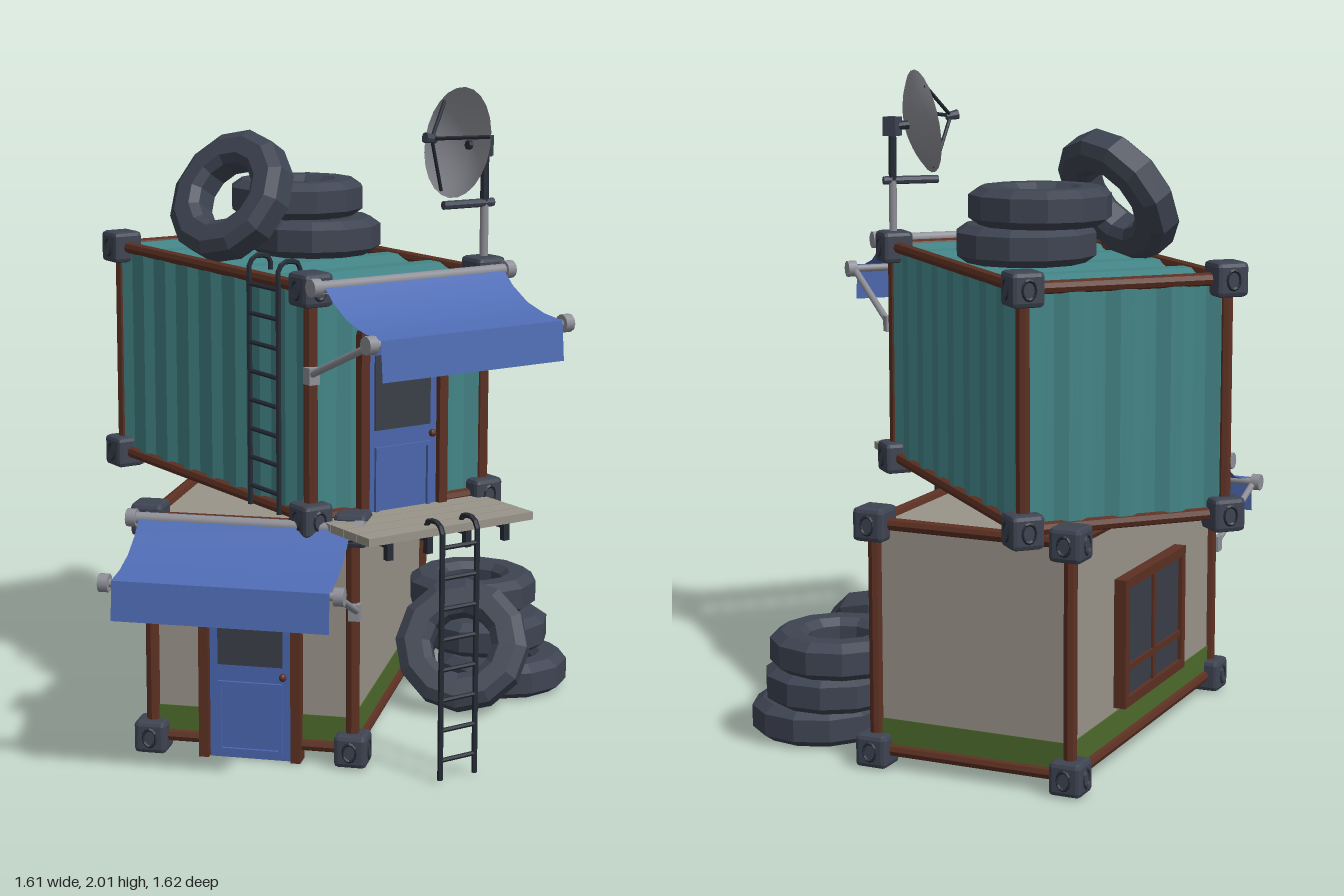
import * as THREE from 'three';
import { RoundedBoxGeometry } from 'three/addons/geometries/RoundedBoxGeometry.js';

const V = (x, y, z) => new THREE.Vector3(x, y, z);
const W = 0.62, D = 1.13, H = 0.68; // container frame, centre to centre

export function createModel() {
  const mat = (name, color, extra = {}) => {
    const m = new THREE.MeshStandardMaterial({ color, flatShading: true, ...extra });
    m.name = name;
    return m;
  };
  const rust = mat('rust brown', 0x5c3022);
  const rubber = mat('dark slate', 0x3e4452);
  const teal = mat('teal', 0x438486, { side: THREE.DoubleSide });
  const beige = mat('beige', 0x99948a);
  const green = mat('moss green', 0x4e6a2c);
  const blue = mat('blue', 0x4a66ae);
  const cloth = mat('awning blue', 0x4f6cb4, { side: THREE.DoubleSide, flatShading: false });
  const glass = mat('dark glass', 0x3a3e47);
  const steel = mat('light steel', 0x8f9098, { side: THREE.DoubleSide, flatShading: false });
  const iron = mat('black iron', 0x262c36);

  const add = (parent, name, geo, material, x = 0, y = 0, z = 0) => {
    const m = new THREE.Mesh(geo, material);
    m.name = name;
    m.position.set(x, y, z);
    parent.add(m);
    return m;
  };
  const box = (parent, name, material, w, h, d, x, y, z) =>
    add(parent, name, new THREE.BoxGeometry(w, h, d), material, x, y, z);
  const bar = (parent, name, material, a, b, r, sides = 8) => {
    const dir = b.clone().sub(a);
    const m = add(parent, name, new THREE.CylinderGeometry(r, r, dir.length(), sides), material);
    m.position.copy(a).addScaledVector(dir, 0.5);
    m.quaternion.setFromUnitVectors(V(0, 1, 0), dir.normalize());
    return m;
  };
  const group = (parent, name) => {
    const g = new THREE.Group();
    g.name = name;
    parent.add(g);
    return g;
  };

  // Beams and corner castings shared by both containers
  function frame(parent) {
    for (const sx of [-1, 1]) {
      const x = sx * W / 2;
      for (const sz of [-1, 1]) {
        const z = sz * D / 2;
        bar(parent, 'cornerPost', rust, V(x, 0, z), V(x, H, z), 0.021);
        for (const y of [0, H]) {
          add(parent, 'cornerBlock', new RoundedBoxGeometry(0.1, 0.1, 0.1, 1, 0.014), rubber, x, y, z);
          const ringZ = add(parent, 'castingRing', new THREE.TorusGeometry(0.02, 0.004, 4, 12), iron, x, y, z + sz * 0.05);
          ringZ.scale.y = 1.35;
          const ringX = add(parent, 'castingRing', new THREE.TorusGeometry(0.02, 0.004, 4, 12), iron, x + sx * 0.05, y, z);
          ringX.rotation.y = Math.PI / 2;
          ringX.scale.y = 1.35;
        }
      }
      for (const y of [0, H]) {
        bar(parent, 'sideBeam', rust, V(x, y, -D / 2), V(x, y, D / 2), 0.019);
        bar(parent, 'endBeam', rust, V(-W / 2, y, sx * D / 2), V(W / 2, y, sx * D / 2), 0.019);
      }
    }
  }

  // Door with window, trimmed lower panel, posts and lintel
  function door(parent) {
    const g = group(parent, 'door');
    g.position.z = D / 2;
    box(g, 'doorLeaf', blue, 0.25, 0.56, 0.04, 0, 0.23, 0.002);
    box(g, 'doorWindow', glass, 0.2, 0.225, 0.006, 0, 0.355, 0.024);
    for (const y of [-0.025, 0.185]) box(g, 'panelTrim', blue, 0.2, 0.012, 0.012, 0, y, 0.026);
    for (const s of [-1, 1]) {
      box(g, 'panelTrim', blue, 0.012, 0.21, 0.012, s * 0.094, 0.08, 0.026);
      box(g, 'doorPost', rust, 0.03, 0.59, 0.06, s * 0.142, 0.245, 0.008);
    }
    box(g, 'lintel', rust, 0.31, 0.03, 0.06, 0, 0.53, 0.008);
    add(g, 'doorKnob', new THREE.SphereGeometry(0.012, 8, 6), rust, 0.103, 0.215, 0.034);
  }

  // Sagging awning with roller, front bar and arms
  function awning(parent) {
    const g = group(parent, 'awning');
    const profile = [[0.705, 0.645], [0.655, 0.7], [0.615, 0.77], [0.592, 0.85], [0.582, 0.935]];
    const sheet = (name, rows) => {
      const geo = new THREE.PlaneGeometry(0.64, 1, 1, rows.length - 1);
      const p = geo.attributes.position;
      for (let i = 0; i < p.count; i++) {
        const [y, z] = rows[i >> 1];
        p.setXYZ(i, p.getX(i), y, z);
      }
      geo.computeVertexNormals();
      add(g, name, geo, cloth);
    };
    sheet('awningCloth', profile);
    sheet('valance', [[0.582, 0.935], [0.465, 0.945]]);
    for (const [y, z, r] of [[0.695, 0.64, 0.018], [0.57, 0.918, 0.012]]) {
      bar(g, 'awningBar', steel, V(-0.34, y, z), V(0.34, y, z), r, 10);
      for (const s of [-1, 1]) bar(g, 'barCap', steel, V(s * 0.33, y, z), V(s * 0.36, y, z), 0.027, 10);
    }
    for (const s of [-1, 1]) {
      bar(g, 'awningArm', steel, V(s * 0.325, 0.43, 0.58), V(s * 0.335, 0.57, 0.918), 0.011);
      box(g, 'armBracket', steel, 0.035, 0.05, 0.035, s * 0.32, 0.43, 0.585);
      box(g, 'rollerBracket', steel, 0.025, 0.03, 0.09, s * 0.31, 0.69, 0.6);
    }
  }

  // Ladder standing in its local xy plane; the rails hook back towards -z
  function ladder(parent, name, w, h, hook, step) {
    const g = group(parent, name);
    for (const s of [-1, 1]) {
      const x = s * w / 2;
      const path = new THREE.CurvePath();
      const pts = [V(x, 0, 0), V(x, h - 0.02, 0), V(x, h, -0.02), V(x, h, -hook + 0.015), V(x, h - 0.015, -hook), V(x, h - 0.045, -hook)];
      for (let i = 1; i < pts.length; i++) path.add(new THREE.LineCurve3(pts[i - 1], pts[i]));
      add(g, 'rail', new THREE.TubeGeometry(path, 40, 0.0085, 6), iron);
    }
    for (let y = 0.06; y < h - 0.03; y += step) bar(g, 'rung', iron, V(-w / 2, y, 0), V(w / 2, y, 0), 0.007, 6);
    return g;
  }

  // Trapezoid-corrugated sheet facing +z, ribs running along y
  function corrugated(w, h, ribs) {
    const n = ribs * 8;
    const geo = new THREE.PlaneGeometry(w, h, n, 1);
    const p = geo.attributes.position;
    for (let i = 0; i < p.count; i++) {
      const t = (i % (n + 1)) / 8 * Math.PI * 2;
      p.setZ(i, 0.009 * THREE.MathUtils.clamp(1.5 * Math.cos(t), -1, 1));
    }
    return geo;
  }

  const root = new THREE.Group();
  root.name = 'containerHome';

  // Lower container
  const lower = group(root, 'lowerContainer');
  lower.position.set(-0.12, 0.055, -0.135);
  frame(lower);
  box(lower, 'lowerWalls', beige, W, H, D, 0, H / 2, 0);
  box(lower, 'mossBand', green, W + 0.006, 0.09, D + 0.006, 0, 0.05, 0);
  door(lower);
  awning(lower);

  // Side window of the lower container
  const win = group(lower, 'sideWindow');
  win.position.set(-W / 2 - 0.015, 0.305, 0);
  box(win, 'windowGlass', glass, 0.02, 0.36, 0.46, 0, 0, 0);
  for (const s of [-1, 1]) {
    box(win, 'windowSill', rust, 0.045, 0.03, 0.49, 0, s * 0.18, 0);
    box(win, 'windowJamb', rust, 0.045, 0.38, 0.03, 0, 0, s * 0.23);
  }
  box(win, 'mullion', rust, 0.035, 0.36, 0.022, 0, 0, 0);
  box(win, 'crossBar', rust, 0.035, 0.02, 0.46, 0, -0.08, 0);

  // Upper container, turned over the lower one
  const upper = group(root, 'upperContainer');
  upper.position.set(-0.115, 0.77, -0.132);
  upper.rotation.y = 0.8;
  frame(upper);
  for (const s of [-1, 1]) {
    add(upper, 'sideWall', corrugated(D, H, 8), teal, s * W / 2, H / 2, 0).rotation.y = s * Math.PI / 2;
    add(upper, 'endWall', corrugated(W, H, 4), teal, 0, H / 2, s * D / 2).rotation.y = s > 0 ? 0 : Math.PI;
  }
  for (const [name, y, s] of [['roof', H, -1], ['floor', 0, 1]]) {
    const m = add(upper, name, corrugated(D, W, 5), teal, 0, y, 0);
    m.rotation.set(s * Math.PI / 2, 0, Math.PI / 2);
  }
  door(upper);
  awning(upper);

  // Porch of planks on hooked brackets
  const porch = group(upper, 'porch');
  for (let i = 0; i < 4; i++) {
    box(porch, 'plank', beige, 0.59, 0.024, 0.064, 0, -0.015, 0.613 + i * 0.067);
    const x = -0.21 + i * 0.14;
    box(porch, 'bracket', iron, 0.02, 0.018, 0.26, x, -0.037, 0.7);
    box(porch, 'bracketHook', iron, 0.02, 0.045, 0.02, x, -0.06, 0.82);
  }

  const sideLadder = ladder(upper, 'roofLadder', 0.16, 0.75, 0.075, 0.087);
  sideLadder.position.set(-0.36, 0, 0.39);
  sideLadder.rotation.y = -Math.PI / 2;
  const porchLadder = ladder(upper, 'porchLadder', 0.125, 0.775, 0.08, 0.092);
  porchLadder.position.set(0, -0.76, 0.88);

  // Tyres: two piles, each with one leaning against it
  const half = [[0.1, 0.035], [0.125, 0.057], [0.18, 0.057], [0.213, 0.034]];
  const ring = [...half.map(([r, y]) => [r, -y]), ...half.slice().reverse(), [0.1, -0.035]];
  const tyreGeo = new THREE.LatheGeometry(ring.map(([r, y]) => new THREE.Vector2(r, y)), 12);
  const tyre = (x, y, z, turn, axis) => {
    const m = add(root, 'tyre', tyreGeo, rubber, x, y, z);
    if (axis) m.quaternion.setFromUnitVectors(V(0, 1, 0), axis.normalize());
    else m.rotation.y = turn;
  };
  tyre(0.51, 0.058, -0.465, 0.1);
  tyre(0.44, 0.18, -0.505, 0.3);
  tyre(0.395, 0.3, -0.545, 0);
  tyre(0.42, 0.205, -0.19, 0, V(0, 0.5, 0.87));
  tyre(-0.08, 1.517, -0.235, 0.2);
  tyre(-0.14, 1.632, -0.265, 0);
  tyre(-0.3, 1.65, -0.055, 0, V(-0.4, 0.5, 0.77));

  // Satellite dish on a mast
  const dish = group(root, 'satelliteDish');
  bar(dish, 'mast', steel, V(0.507, 1.49, 0.035), V(0.507, 1.67, 0.035), 0.013);
  bar(dish, 'upperMast', iron, V(0.507, 1.66, 0.035), V(0.507, 1.84, 0.035), 0.013);
  box(dish, 'mastHead', rubber, 0.045, 0.06, 0.045, 0.507, 1.83, 0.035);
  bar(dish, 'dishMount', iron, V(0.507, 1.83, 0.035), V(0.46, 1.835, 0.08), 0.014);
  bar(dish, 'feedBoom', rubber, V(0.53, 1.66, 0.015), V(0.4, 1.66, 0.14), 0.013);
  const bowl = group(dish, 'bowl');
  bowl.position.set(0.47, 1.835, 0.07);
  bowl.quaternion.setFromUnitVectors(V(0, 1, 0), V(-0.7, 0.17, 0.7).normalize());
  const curve = [0, 0.04, 0.08, 0.12, 0.15, 0.165].map(r => new THREE.Vector2(r, r * r * 1.9));
  add(bowl, 'reflector', new THREE.LatheGeometry(curve, 24), steel);
  add(bowl, 'feedHorn', new THREE.CylinderGeometry(0.016, 0.012, 0.04, 8), rubber, 0, 0.15, 0);
  for (let i = 0; i < 3; i++) {
    const a = i * Math.PI * 2 / 3 + 0.6;
    bar(bowl, 'feedStrut', iron, V(0.155 * Math.cos(a), 0.047, 0.155 * Math.sin(a)), V(0, 0.145, 0), 0.006, 6);
  }
  return root;
}
